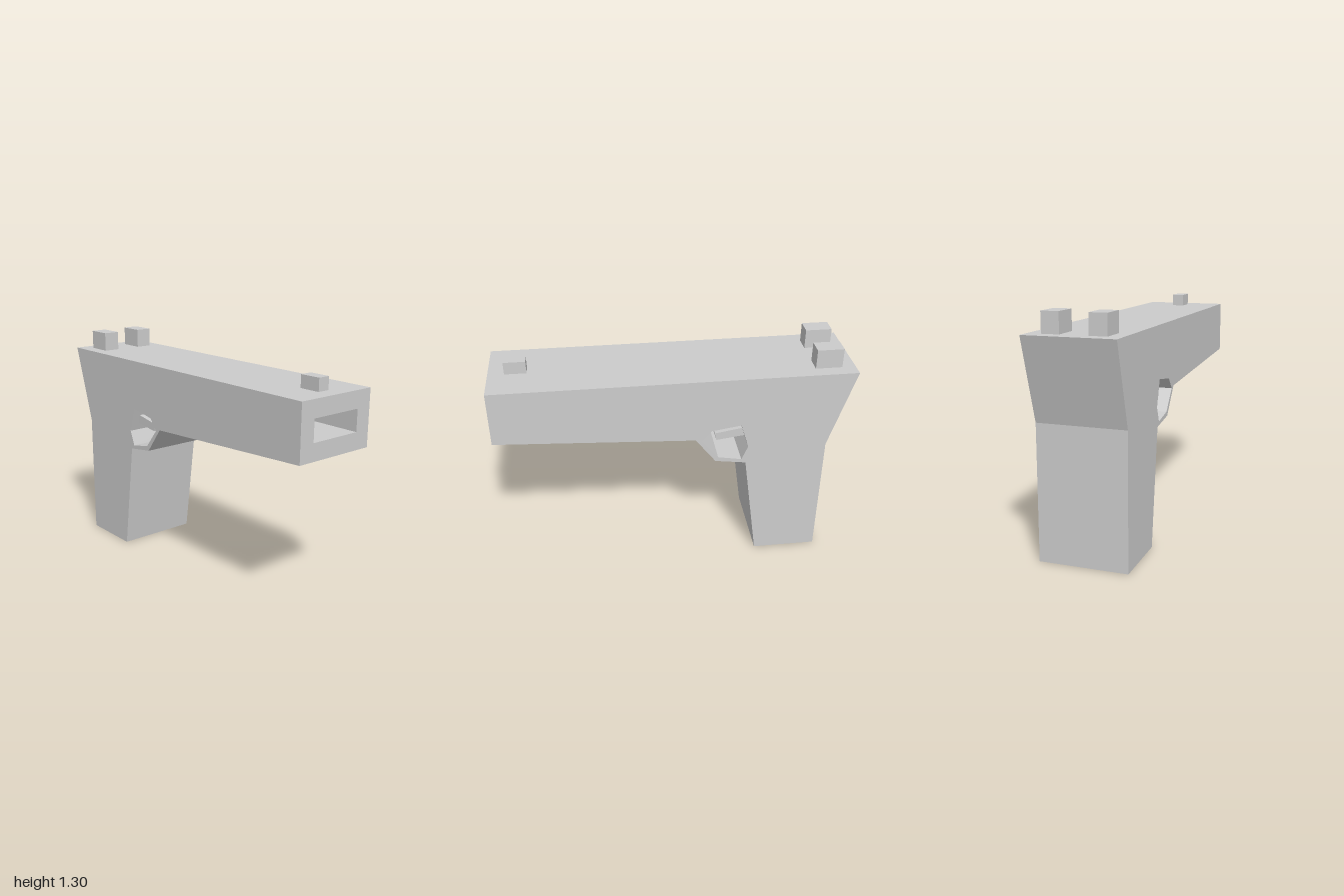
import * as THREE from 'three';

const WIDTH = 0.49, TOP = 1.195, MUZZLE_BASE = 0.885;
const material = new THREE.MeshStandardMaterial({ color: 0xcccccc, flatShading: true });

// Side outlines are given as [z, y]; shape x becomes -z after the turn
const toPoints = (list) => list.map(([z, y]) => new THREE.Vector2(-z, y));

function extrudeSide(outline, width, hole) {
  const shape = new THREE.Shape(toPoints(outline));
  if (hole) shape.holes.push(new THREE.Path(toPoints(hole)));
  const geometry = new THREE.ExtrudeGeometry(shape, { depth: width, bevelEnabled: false });
  return geometry.translate(0, 0, -width / 2).rotateY(Math.PI / 2);
}

// Remove the triangles for which test(z of each corner) holds
function dropFaces(geometry, test) {
  const flat = geometry.index ? geometry.toNonIndexed() : geometry;
  const p = flat.attributes.position;
  const kept = [];
  for (let i = 0; i < p.count; i += 3) {
    if ([0, 1, 2].every((k) => test(p.getZ(i + k)))) continue;
    for (let k = 0; k < 3; k++) kept.push(p.getX(i + k), p.getY(i + k), p.getZ(i + k));
  }
  const result = new THREE.BufferGeometry();
  result.setAttribute('position', new THREE.Float32BufferAttribute(kept, 3));
  result.computeVertexNormals();
  return result;
}

const rectangle = (Type, x, y0, y1) => new Type([
  new THREE.Vector2(-x, y0), new THREE.Vector2(x, y0),
  new THREE.Vector2(x, y1), new THREE.Vector2(-x, y1),
]);

export function createModel() {
  const model = new THREE.Group();
  const add = (name, geometry, mat = material) => {
    const mesh = new THREE.Mesh(geometry, mat);
    mesh.name = name;
    model.add(mesh);
    return mesh;
  };
  const isFront = (z) => z > 0.999;

  // Slide, grip and trigger guard in one profile, open at the muzzle
  const outline = [
    [1, TOP], [1, MUZZLE_BASE], [-0.11, 0.825], [-0.225, 0.675], [-0.4, 0.65],
    [-0.49, 0], [-0.86, 0], [-0.86, 0.74], [-1, TOP],
  ];
  const guardHole = [
    [-0.2, 0.88], [-0.365, 0.905], [-0.41, 0.76],
    [-0.375, 0.675], [-0.24, 0.7], [-0.145, 0.815],
  ];
  add('body', dropFaces(extrudeSide(outline, WIDTH, guardHole), isFront));

  // Muzzle face with its rectangular opening
  const holeHalf = 0.155, holeLow = 0.98, holeHigh = 1.1, holeDepth = 0.5;
  const face = rectangle(THREE.Shape, WIDTH / 2, MUZZLE_BASE, TOP);
  face.holes.push(rectangle(THREE.Path, holeHalf, holeLow, holeHigh));
  add('muzzleFace', new THREE.ShapeGeometry(face).translate(0, 0, 1));

  // Bore: the inside of a box without its front
  const bore = new THREE.BoxGeometry(holeHalf * 2, holeHigh - holeLow, holeDepth)
    .translate(0, (holeLow + holeHigh) / 2, 1 - holeDepth / 2);
  const inside = material.clone();
  inside.side = THREE.DoubleSide;
  add('bore', dropFaces(bore, isFront), inside);

  // Trigger, set in slightly from both sides
  add('trigger', extrudeSide(
    [[-0.225, 0.83], [-0.39, 0.857], [-0.4, 0.807], [-0.235, 0.785]], 0.39));

  // Sights
  const sight = (name, x, z, w, h, d) =>
    add(name, new THREE.BoxGeometry(w, h, d)).position.set(x, TOP + h / 2, z);
  sight('frontSight', 0, 0.85, 0.07, 0.07, 0.12);
  for (const side of [-1, 1]) {
    sight(side > 0 ? 'rearSightLeft' : 'rearSightRight', side * 0.123, -0.85, 0.095, 0.11, 0.148);
  }
  return model;
}
